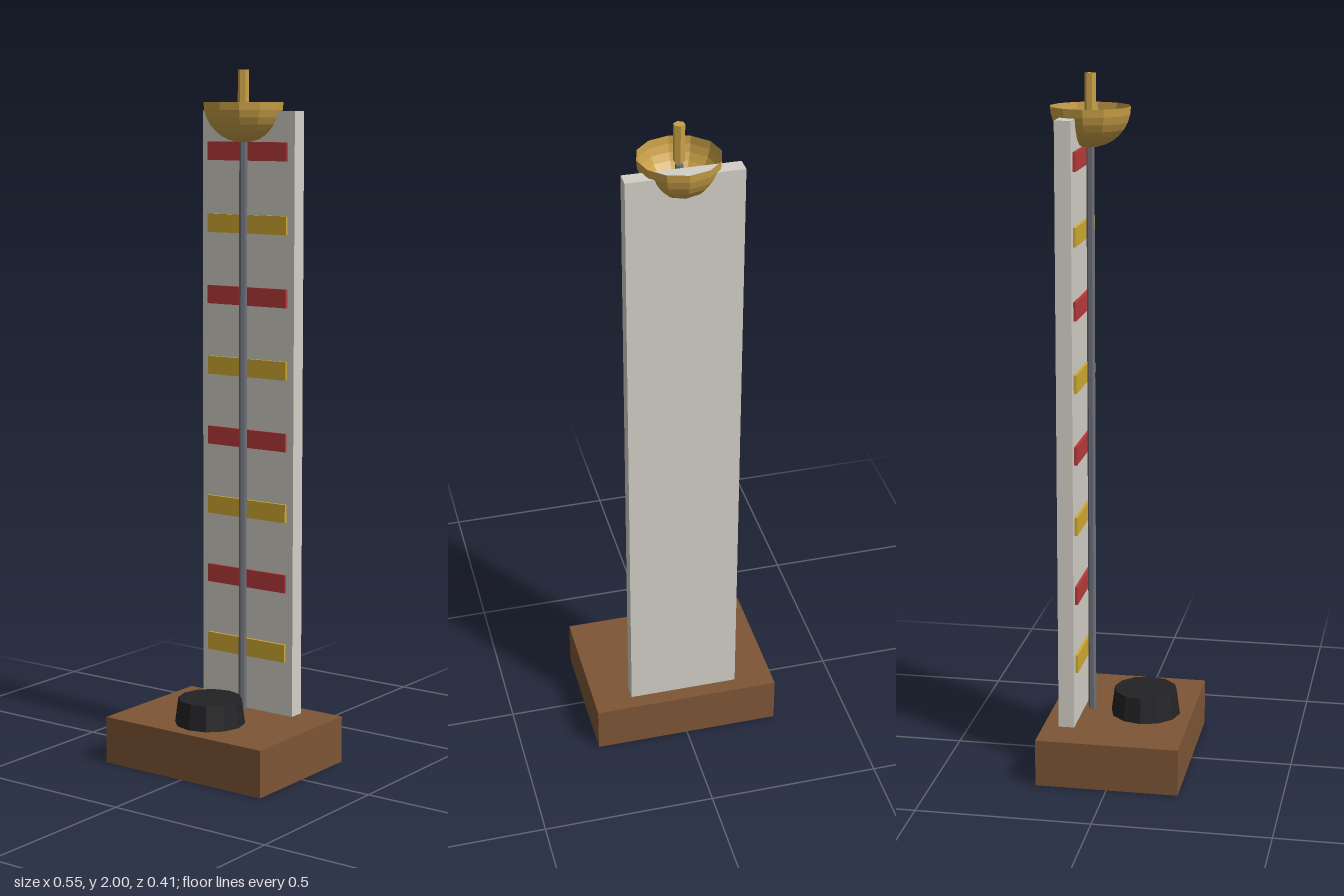
import * as THREE from 'three';

const paint = (color, side = THREE.FrontSide) =>
  new THREE.MeshStandardMaterial({ color, side, flatShading: true });

export function createModel() {
  const group = new THREE.Group();
  const wood = paint(0x7d5535), cream = paint(0xd2cfc6), red = paint(0xb93a3a);
  const yellow = paint(0xd1aa33), steel = paint(0x6c6f77), rubber = paint(0x232325);
  const brass = paint(0xc9a047, THREE.DoubleSide);

  // Adds a mesh whose underside rests at the given height
  function add(name, geometry, material, x, bottom, z) {
    geometry.computeBoundingBox();
    const mesh = new THREE.Mesh(geometry, material);
    mesh.name = name;
    mesh.position.set(x, bottom - geometry.boundingBox.min.y, z);
    group.add(mesh);
    return mesh;
  }

  const deck = 0.137, towerHeight = 1.748, railZ = -0.092;

  // Base and upright board
  add('base', new THREE.BoxGeometry(0.55, deck, 0.412), wood, 0, 0, 0);
  add('towerBoard', new THREE.BoxGeometry(0.322, towerHeight, 0.046), cream, 0, deck, -0.138);

  // Alternating score stripes up the board
  for (let i = 0; i < 8; i++) {
    add(`scoreStripe${i + 1}`, new THREE.BoxGeometry(0.276, 0.053, 0.012),
      i % 2 ? red : yellow, 0, 0.297 + i * 0.2068, -0.113);
  }

  // Guide rail in front of the board
  add('guideRail', new THREE.CylinderGeometry(0.0115, 0.0115, towerHeight, 6), steel, 0, deck, railZ);

  // Striking pad
  add('strikePad', new THREE.CylinderGeometry(0.092, 0.102, 0.073, 12), rubber, 0, deck, 0.068);

  // Open bell bowl with its pin
  add('bell', new THREE.SphereGeometry(0.114, 12, 8, 0, Math.PI * 2, Math.PI / 2, Math.PI / 2),
    brass, 0, 1.796, railZ);
  add('bellPin', new THREE.CylinderGeometry(0.016, 0.016, 0.105, 6), brass, 0, 1.895, railZ);

  return group;
}
